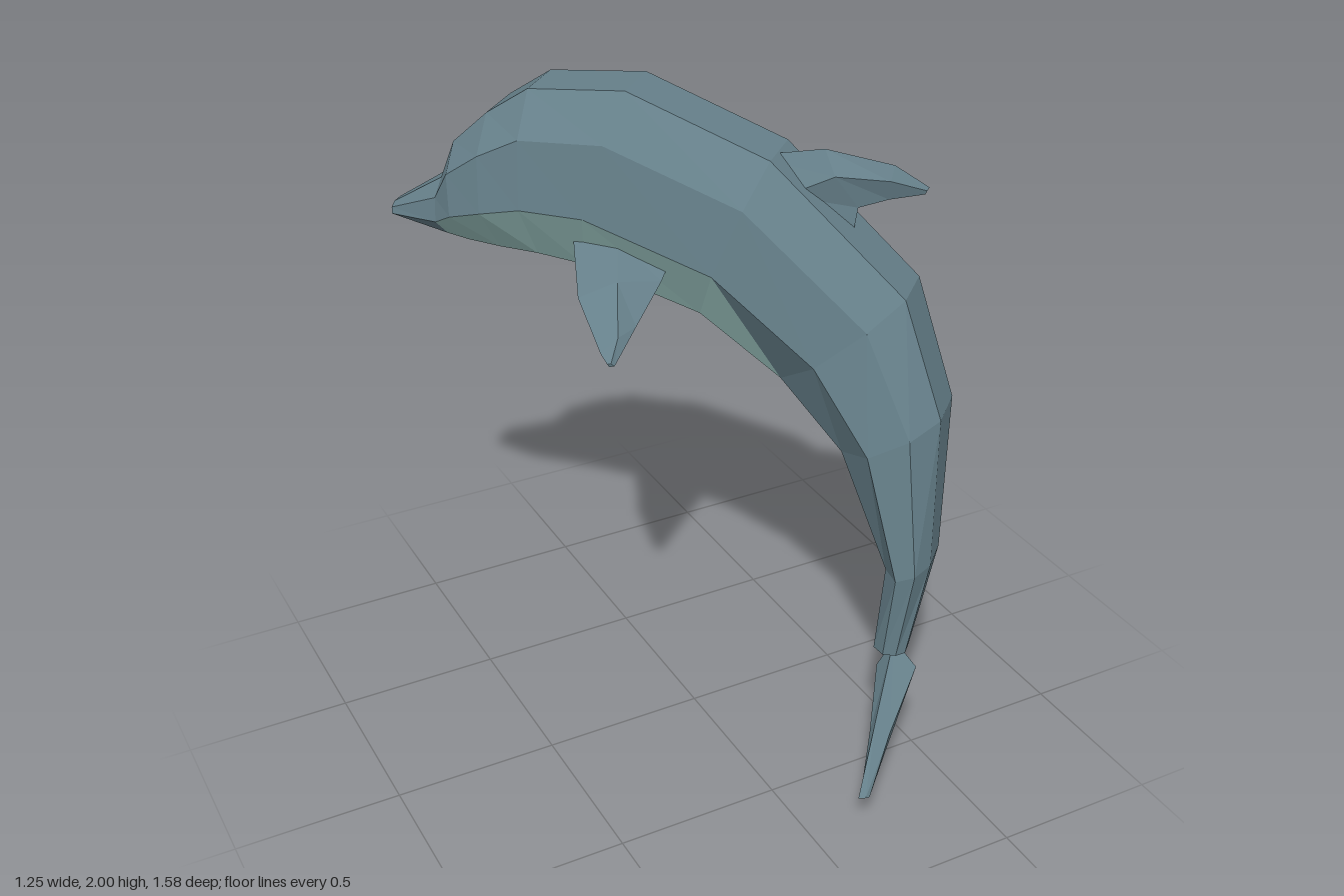
import * as THREE from 'three';

const SKIN = 0x66808a, BELLY = 0x9cc4c0;

// Skin a list of equal-sized rings (with end caps); keep() selects the triangles used
function loft(name, rings, color, keep = () => true) {
  const n = rings[0].length, all = [];
  const add = (used, ...p) => all.push({ used, p });
  for (let i = 0; i < rings.length - 1; i++) {
    for (let j = 0; j < n; j++) {
      const k = (j + 1) % n;
      const a = rings[i][j], b = rings[i][k], c = rings[i + 1][k], d = rings[i + 1][j];
      // diagonals mirror across the middle of the ring
      const tris = j < n / 2 ? [[a, b, c], [a, c, d]] : [[a, b, d], [b, c, d]];
      tris.forEach((t, s) => add(keep(i, j, s), ...t));
    }
  }
  const first = rings[0], last = rings[rings.length - 1];
  for (let j = 1; j < n - 1; j++) {
    add(keep(-1, j, 0), first[0], first[j + 1], first[j]);
    add(keep(-1, j, 0), last[0], last[j], last[j + 1]);
  }
  // Turn the faces outward by the sign of the enclosed volume
  const cross = new THREE.Vector3();
  let volume = 0;
  for (const { p } of all) volume += p[0].dot(cross.crossVectors(p[1], p[2]));
  const points = all.filter(t => t.used)
    .flatMap(({ p }) => (volume < 0 ? [p[0], p[2], p[1]] : p));
  const geometry = new THREE.BufferGeometry().setFromPoints(points);
  geometry.computeVertexNormals();
  const mesh = new THREE.Mesh(geometry, new THREE.MeshStandardMaterial({ color, flatShading: true }));
  mesh.name = name;
  return mesh;
}

// Body frame: u runs from head to tail, v across; the swimmer lies diagonally
const place = (u, y, v) => new THREE.Vector3(0.69 * u + 0.724 * v, y, 0.724 * u - 0.69 * v);

// Octagonal body section: [share of half width, share of height]
const SECTION = [[0.42, 1], [0.88, 0.76], [1, 0.36], [0.42, 0]];
function bodyRing([backU, backY, bellyU, bellyY, v, w]) {
  const half = side => SECTION.map(([a, t]) =>
    place(bellyU + (backU - bellyU) * t, bellyY + (backY - bellyY) * t, v + side * a * w));
  return [...half(1), ...half(-1).reverse()];
}

// Fin with a diamond section; each section is [leading point, trailing point, half thickness]
function fin(name, sections, rootNormal) {
  const normal = new THREE.Vector3(...rootNormal).normalize();
  const rings = sections.map(([lead, trail, thick]) => {
    const a = new THREE.Vector3(...lead), b = new THREE.Vector3(...trail);
    const mid = a.clone().lerp(b, 0.4);
    return [a, mid.clone().addScaledVector(normal, thick), b, mid.clone().addScaledVector(normal, -thick)];
  });
  return loft(name, rings, SKIN);
}

export function createModel() {
  const group = new THREE.Group();
  group.name = 'dolphin';

  // Body: back u, back y, belly u, belly y, v, half width
  const rings = [
    [-0.97, 1.565, -0.965, 1.52, 0.1, 0.048],
    [-0.8, 1.67, -0.79, 1.495, 0.11, 0.12],
    [-0.75, 1.79, -0.72, 1.487, 0.125, 0.17],
    [-0.64, 1.89, -0.62, 1.48, 0.135, 0.2],
    [-0.51, 1.975, -0.5, 1.475, 0.137, 0.203],
    [-0.22, 2.0, -0.36, 1.46, 0.14, 0.207],
    [0.2, 1.85, 0, 1.36, 0.135, 0.207],
    [0.6, 1.5, 0.25, 1.2, 0.115, 0.2],
    [0.73, 1.17, 0.45, 1.02, 0.06, 0.185],
    [0.74, 0.72, 0.61, 0.68, -0.012, 0.135],
    [0.69, 0.42, 0.595, 0.42, -0.08, 0.05],
  ].map(bodyRing);

  // Pale underside from the jaw, tapering to a point behind the flippers
  const isBelly = (i, j, s) => {
    if (i < 1 || i > 6 || j < 2 || j > 4) return false;
    return i < 6 || j === 3 || s === 0;
  };
  group.add(loft('body', rings, SKIN, (i, j, s) => !isBelly(i, j, s)));
  group.add(loft('belly', rings, BELLY, isBelly));

  // Dorsal fin, swept back
  const onBack = (u, y, v) => place(u, y, v).toArray();
  group.add(fin('dorsalFin', [
    [onBack(0.12, 1.83, 0.12), onBack(0.42, 1.62, 0.12), 0.05],
    [onBack(0.33, 1.87, 0.135), onBack(0.43, 1.71, 0.135), 0.035],
    [onBack(0.52, 1.835, 0.165), onBack(0.51, 1.735, 0.16), 0.02],
    [onBack(0.615, 1.775, 0.185), onBack(0.605, 1.755, 0.18), 0.005],
  ], [0.724, 0, -0.69]));

  // Flippers
  group.add(fin('leftFlipper', [
    [[-0.02, 1.56, -0.44], [0.15, 1.44, -0.2], 0.04],
    [[0.09, 1.42, -0.485], [0.16, 1.37, -0.32], 0.03],
    [[0.195, 1.25, -0.45], [0.185, 1.28, -0.38], 0.015],
    [[0.18, 1.2, -0.435], [0.165, 1.2, -0.415], 0.006],
  ], [0.75, 0.45, -0.4]));
  group.add(fin('rightFlipper', [
    [[-0.25, 1.56, -0.27], [-0.06, 1.52, -0.05], 0.04],
    [[-0.335, 1.48, -0.06], [-0.1, 1.5, -0.01], 0.035],
    [[-0.335, 1.37, 0.08], [-0.21, 1.41, 0.05], 0.018],
    [[-0.33, 1.35, 0.11], [-0.31, 1.34, 0.115], 0.006],
  ], [0.35, 0.8, 0.3]));

  // Tail flukes, sharing a root below the tail stock
  const root = [[0.395, 0.44, 0.52], [0.39, 0.24, 0.58], 0.06];
  group.add(fin('rightFluke', [
    root,
    [[0.25, 0.285, 0.66], [0.275, 0.185, 0.685], 0.03],
    [[0.13, 0.125, 0.77], [0.165, 0.12, 0.775], 0.008],
  ], [0.7, 0.15, 0.7]));
  group.add(fin('leftFluke', [
    root,
    [[0.49, 0.2, 0.405], [0.45, 0.09, 0.47], 0.03],
    [[0.54, 0.005, 0.35], [0.51, 0.005, 0.37], 0.008],
  ], [0.7, 0.15, 0.7]));

  return group;
}
